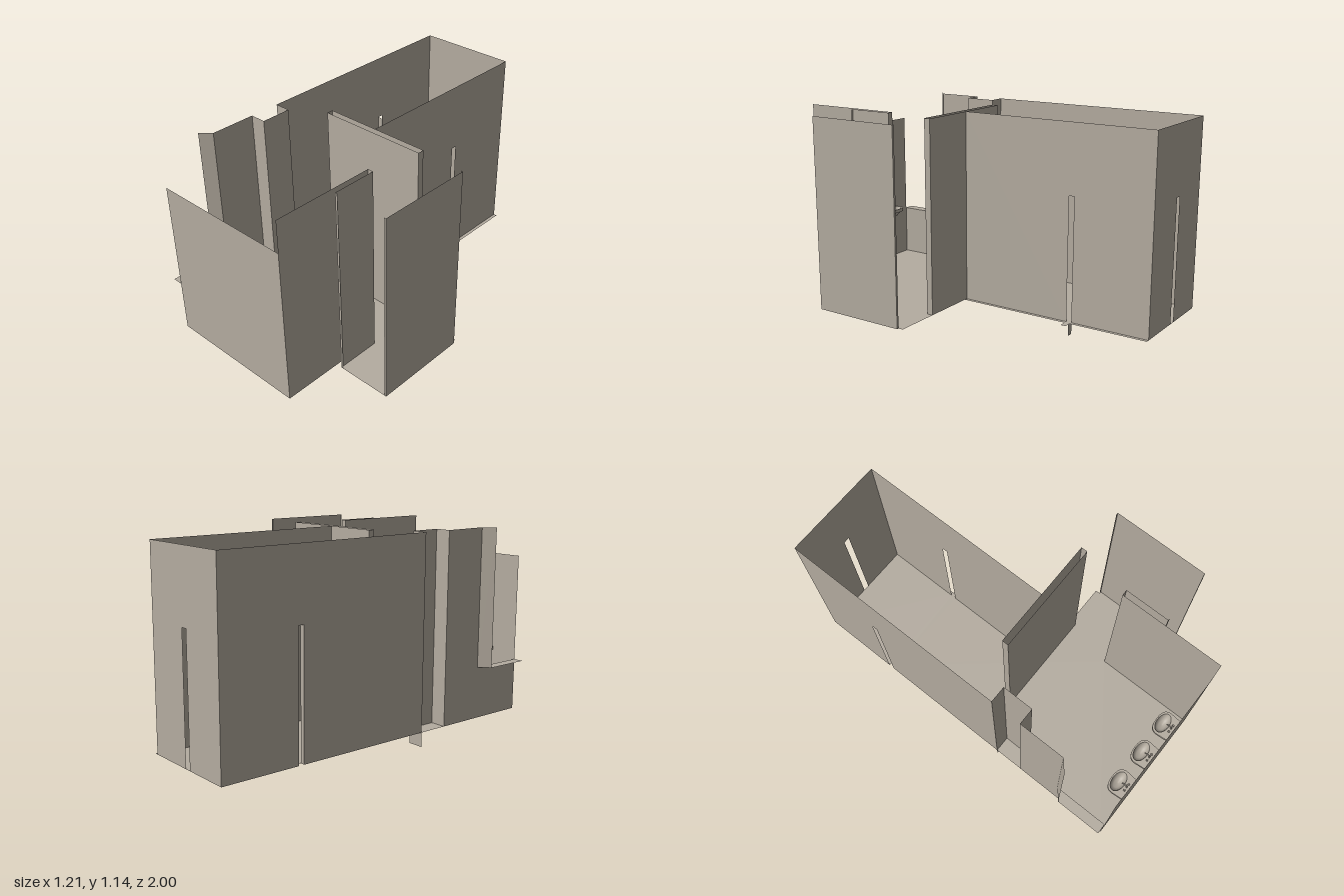
import * as THREE from 'three';

const BASE = 0.08, TOP = 1.14;

export function createModel() {
  const model = new THREE.Group();
  model.name = 'washroom';
  const plaster = new THREE.MeshStandardMaterial({ color: 0xb4aca0, side: THREE.DoubleSide });
  plaster.name = 'plaster';

  const add = (name, geometry, parent = model) => {
    const mesh = new THREE.Mesh(geometry, plaster);
    mesh.name = name;
    parent.add(mesh);
    return mesh;
  };

  // Upright sheet between two plan points
  const wall = (name, x0, z0, x1, z1, y0 = BASE, y1 = TOP) => {
    const mesh = add(name, new THREE.PlaneGeometry(Math.hypot(x1 - x0, z1 - z0), y1 - y0));
    mesh.position.set((x0 + x1) / 2, (y0 + y1) / 2, (z0 + z1) / 2);
    mesh.rotation.y = -Math.atan2(z1 - z0, x1 - x0);
  };

  // Wall with a slit from the floor, between fractions a and b of its length
  const slitWall = (name, x0, z0, x1, z1, a, b) => {
    const at = t => [x0 + (x1 - x0) * t, z0 + (z1 - z0) * t];
    wall(name, ...at(0), ...at(a));
    wall(name + 'Lintel', ...at(a), ...at(b), 0.76, TOP);
    wall(name, ...at(b), ...at(1));
  };

  // Horizontal sheet from plan points
  const sheet = (name, points, y) => {
    const shape = new THREE.Shape(points.map(p => new THREE.Vector2(...p)));
    add(name, new THREE.ShapeGeometry(shape).rotateX(Math.PI / 2)).position.y = y;
  };

  // Floor with the notch and the tab at the narrow slits
  sheet('floor', [
    [-0.55, -1], [0.04, -1], [0.04, -0.56], [0.08, -0.56], [0.08, -0.53], [0.04, -0.53],
    [0.04, 0.11], [0.593, 0.11], [0.593, 0.137], [0.605, 0.137], [0.605, 0.67], [0.295, 0.67],
    [0.295, 0.42], [0.263, 0.42], [0.263, 1], [-0.55, 1],
    [-0.55, -0.53], [-0.525, -0.53], [-0.525, -0.56], [-0.55, -0.56],
  ], BASE);

  // Long rear room
  slitWall('backWall', -0.55, -1, 0.02, -1, 0.465, 0.525);
  slitWall('rightRearWall', -0.55, -1, -0.55, 0.26, 0.349, 0.373);
  slitWall('leftRearWall', 0.02, -1, 0.02, 0.11, 0.396, 0.423);
  wall('slitReveal', -0.55, -0.53, -0.525, -0.53, BASE, 0.76);

  // Shaft recess in the right wall
  wall('shaftBack', -0.55, 0.26, -0.46, 0.26, 0, TOP);
  wall('shaftSide', -0.46, 0.26, -0.46, 0.43);
  wall('shaftFront', -0.46, 0.43, -0.55, 0.43);

  // Right wall with the splayed window opening and its sill
  wall('rightFrontWall', -0.55, 0.43, -0.55, 0.685);
  wall('windowParapet', -0.55, 0.685, -0.55, 1, BASE, 0.37);
  wall('windowSplay', -0.55, 0.685, -0.608, 0.735, 0.37, TOP);
  sheet('windowSill', [[-0.55, 0.685], [-0.608, 0.735], [-0.608, 1], [-0.55, 1]], 0.37);

  // Lower front wall, then the left wall folding around the slot
  wall('frontWall', -0.55, 1, 0.263, 1, BASE, 0.963);
  wall('leftFrontWall', 0.263, 1, 0.263, 0.42);
  wall('slotEnd', 0.263, 0.42, 0.295, 0.42);
  wall('slotSide', 0.295, 0.42, 0.295, 0.67);
  wall('doorJamb', 0.295, 0.67, 0.308, 0.67);

  // Outer side wall with jambs
  wall('outerWall', 0.605, 0.67, 0.605, 0.137);
  for (const z of [0.67, 0.137]) wall('outerJamb', 0.593, z, 0.605, z);

  // Hollow partition between the rooms
  for (const z of [0.11, 0.145]) wall('partitionFace', -0.285, z, 0.34, z);
  for (const x of [-0.285, 0.34]) wall('partitionEnd', x, 0.11, x, 0.145);

  // Small tabs hanging under the floor
  wall('floorTab', -0.02, -0.54, 0.015, -0.54, 0, BASE);
  wall('floorTab', -0.285, -0.555, -0.285, -0.528, 0, BASE);

  // Wash basins on the inside of the front wall
  for (const x of [-0.33, -0.125, 0.075]) {
    const sink = new THREE.Group();
    sink.name = 'washBasin';
    sink.position.set(x, 0.42, 1);
    model.add(sink);

    const rim = new THREE.Shape();
    rim.moveTo(-0.065, -0.004);
    rim.lineTo(0.065, -0.004);
    rim.lineTo(0.071, -0.07);
    rim.bezierCurveTo(0.071, -0.105, 0.05, -0.12, 0, -0.12);
    rim.bezierCurveTo(-0.05, -0.12, -0.071, -0.105, -0.071, -0.07);
    rim.closePath();
    const hole = new THREE.Path();
    hole.absellipse(0, -0.077, 0.058, 0.036, 0, Math.PI * 2);
    rim.holes.push(hole);
    add('basinRim', new THREE.ExtrudeGeometry(rim, { depth: 0.02, bevelEnabled: false, curveSegments: 16 })
      .rotateX(Math.PI / 2), sink);

    const profile = [[0.001, -0.05], [0.5, -0.046], [0.85, -0.028], [1, 0]].map(p => new THREE.Vector2(...p));
    const bowl = add('basinBowl', new THREE.LatheGeometry(profile, 32).scale(0.058, 1, 0.036), sink);
    bowl.position.z = -0.077;

    // Tap with spout and two handles
    const spout = new THREE.CatmullRomCurve3([[0, 0, -0.025], [0, 0.025, -0.027], [0, 0.032, -0.042], [0, 0.022, -0.056]]
      .map(p => new THREE.Vector3(...p)));
    add('tapSpout', new THREE.TubeGeometry(spout, 12, 0.004, 8), sink);
    for (const side of [-1, 1]) {
      add('tapHandle', new THREE.CylinderGeometry(0.005, 0.006, 0.016, 10), sink)
        .position.set(side * 0.02, 0.008, -0.025);
    }
  }
  return model;
}
